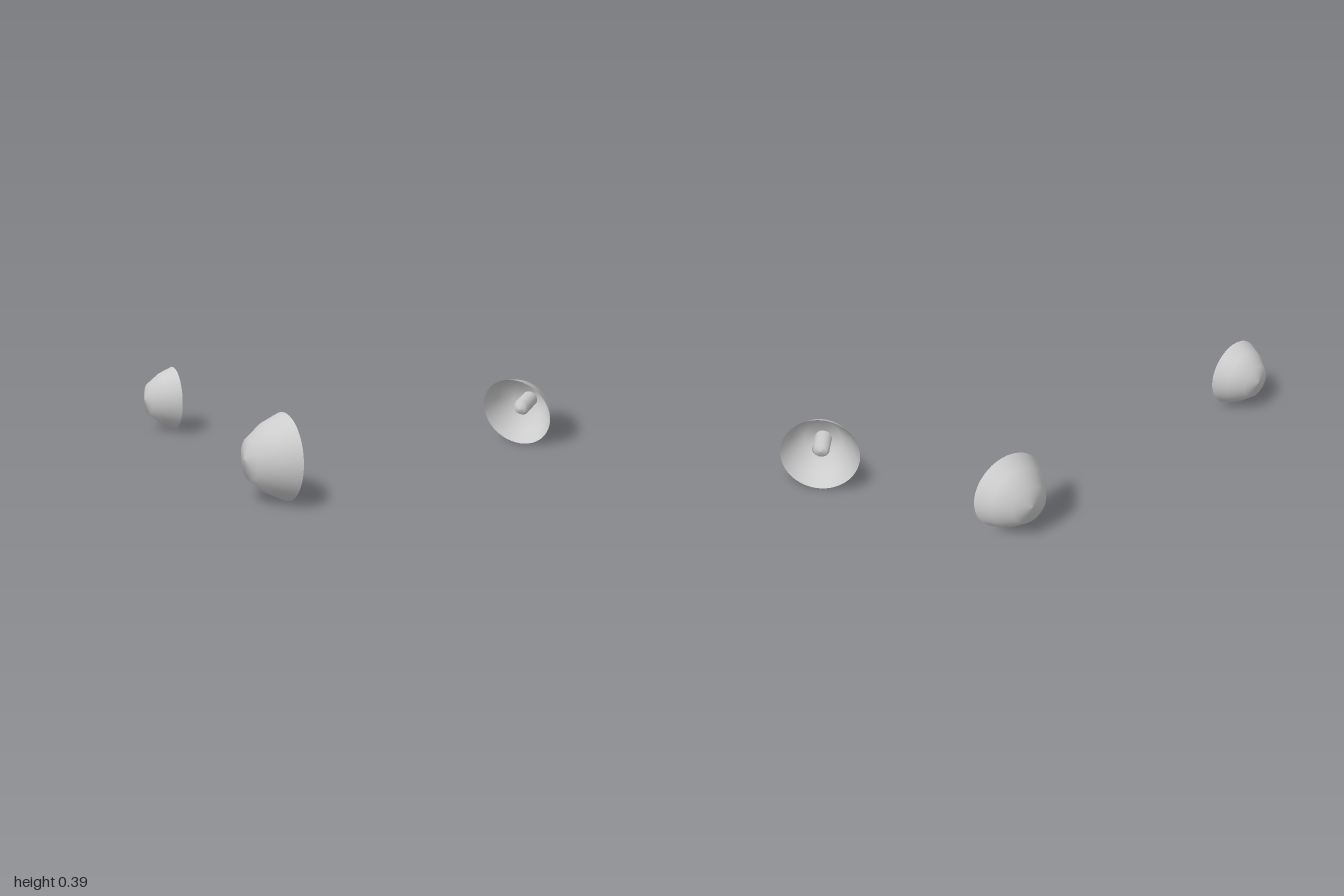
import * as THREE from 'three';

const RADIUS = 0.193;
const SPACING = 0.807;

// Turned part whose axis points along +x; points are [x, radius]
function turned(name, points, segments, material) {
  const profile = points.map(([x, r]) => new THREE.Vector2(r, x));
  const mesh = new THREE.Mesh(new THREE.LatheGeometry(profile, segments), material);
  mesh.rotation.z = -Math.PI / 2;
  mesh.name = name;
  return mesh;
}

export function createModel() {
  const model = new THREE.Group();
  model.name = 'headlampPair';

  const grey = new THREE.MeshStandardMaterial({ color: 0xcccccc, side: THREE.DoubleSide });
  grey.name = 'lightGrey';

  for (const side of [1, -1]) {
    const lamp = new THREE.Group();
    lamp.name = side > 0 ? 'frontLamp' : 'backLamp';

    // Open reflector bowl
    lamp.add(turned('reflectorBowl', [
      [-0.092, 0], [-0.07, 0.094], [0.01, 0.156], [0.092, RADIUS],
    ], 48, grey));

    // Bulb with a rounded tip, seated in the back of the bowl
    lamp.add(turned('bulb', [
      [-0.08, 0.043], [0.034, 0.043], [0.053, 0.031], [0.061, 0],
    ], 32, grey));

    lamp.position.set(0, RADIUS, side * SPACING);
    model.add(lamp);
  }
  return model;
}
